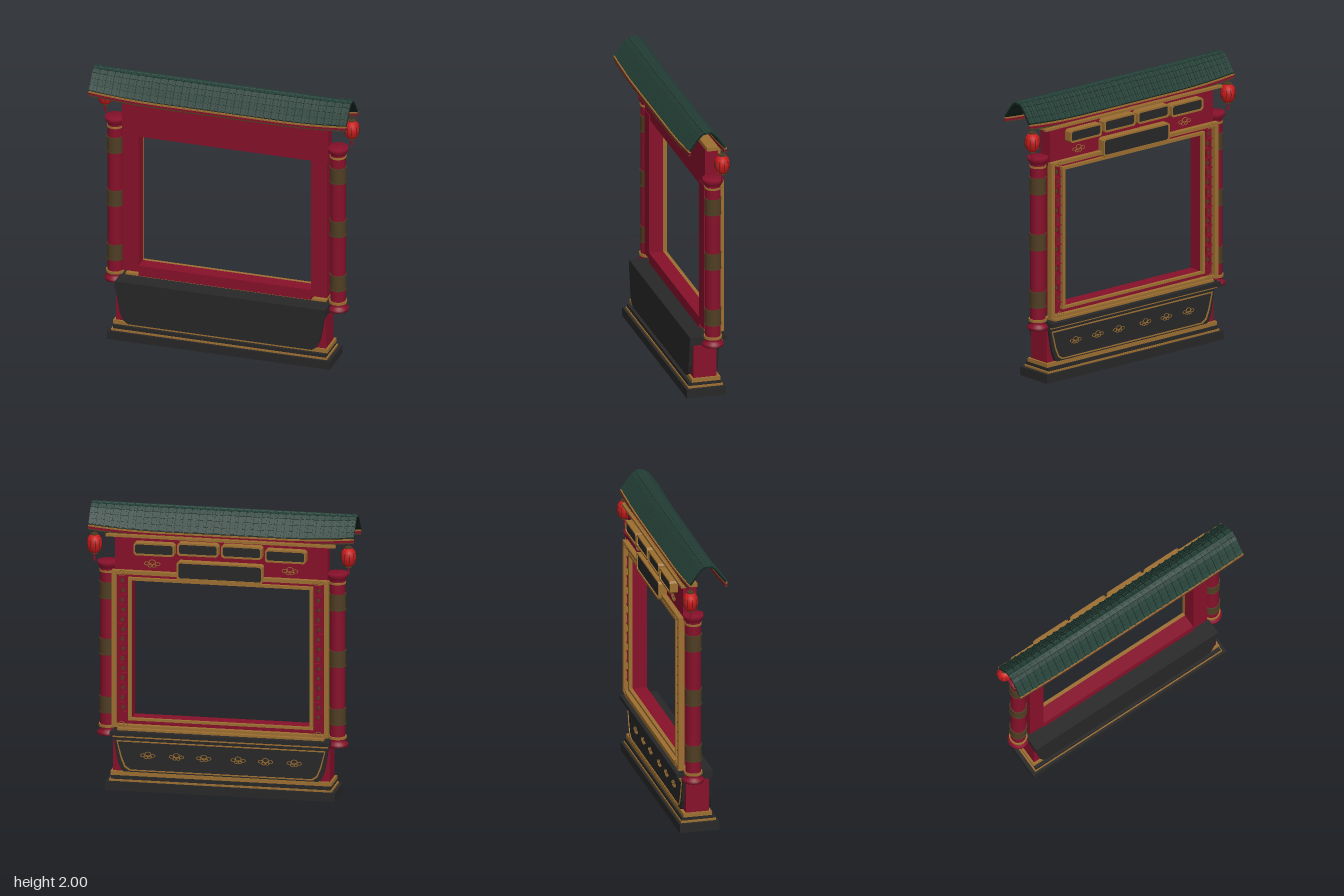
import * as THREE from 'three';
import { mergeGeometries } from 'three/addons/utils/BufferGeometryUtils.js';

const mat = (name, color, extra = {}) => {
  const m = new THREE.MeshStandardMaterial({ color, ...extra });
  m.name = name;
  return m;
};

export function createModel() {
  const root = new THREE.Group();
  root.name = 'ornamentalGateFrame';
  const red = mat('crimson', 0x86102a);
  const black = mat('charcoal', 0x272727);
  const gold = mat('gold', 0x9c6e30);
  const bronze = mat('bronze', 0x4e3d22);
  const tile = mat('greenTile', 0x233f36);
  const gap = mat('darkGreen', 0x14241e, { side: THREE.DoubleSide });
  const paper = mat('lanternRed', 0xc81a1a);

  const add = (name, geo, material, parent = root) => {
    const m = new THREE.Mesh(geo, material);
    m.name = name;
    parent.add(m);
    return m;
  };
  // Box from its limits
  const bg = (x0, x1, y0, y1, z0, z1) =>
    new THREE.BoxGeometry(x1 - x0, y1 - y0, z1 - z0)
      .translate((x0 + x1) / 2, (y0 + y1) / 2, (z0 + z1) / 2);
  const box = (name, m, ...lim) => add(name, bg(...lim), m);
  // Box centred on x = 0
  const wide = (name, m, w, ...lim) => box(name, m, -w, w, ...lim);
  const lathe = (pts, seg = 24) =>
    new THREE.LatheGeometry(pts.map(p => new THREE.Vector2(...p)), seg);

  // Stepped base
  wide('basePlinth', black, 0.8, 0, 0.062, -0.145, 0.135);
  wide('baseGoldLine', gold, 0.775, 0.062, 0.076, -0.128, 0.118);
  wide('baseStep', black, 0.765, 0.076, 0.1, -0.123, 0.112);
  wide('baseGoldTrim', gold, 0.77, 0.1, 0.128, -0.112, 0.09);

  // Counter with shaped front and back panels
  wide('counterCore', red, 0.755, 0.128, 0.365, -0.09, 0.075);
  wide('counterTop', black, 0.755, 0.365, 0.425, -0.12, 0.1);
  wide('counterBackLedge', black, 0.765, 0.392, 0.42, -0.16, -0.11);
  wide('counterLedgeTrim', gold, 0.75, 0.375, 0.39, -0.135, -0.11);
  const panelShape = (inset) => {
    const s = new THREE.Shape(), i = inset;
    const right = [[0.66 - i, 0.115 + i], [0.695 - i, 0.14 + i], [0.72 - i, 0.2 + i], [0.75 - i, 0.37 - i]];
    right.forEach(([x, y], k) => (k ? s.lineTo(x, y) : s.moveTo(x, y)));
    [...right].reverse().forEach(([x, y]) => s.lineTo(-x, y));
    s.closePath();
    return s;
  };
  const extrude = (s, depth, z) =>
    new THREE.ExtrudeGeometry(s, { depth, bevelEnabled: false }).translate(0, 0, z);
  add('counterFrontPanel', extrude(panelShape(0), 0.03, 0.07), black);
  add('counterBackPanel', extrude(panelShape(0), 0.022, -0.11), black);
  const outline = panelShape(0.022);
  outline.holes.push(panelShape(0.03));
  add('backPanelOutline', extrude(outline, 0.006, -0.116), gold);

  // Small cloud scrolls
  const cloud = (x, y, z, s = 1) => {
    const parts = [[-0.035, 0, 0.015], [0, 0.011, 0.02], [0.035, 0, 0.015], [-0.012, -0.014, 0.012], [0.014, -0.014, 0.012]]
      .map(([dx, dy, r]) => new THREE.TorusGeometry(r * s, 0.0035, 4, 12).scale(1, 0.7, 1)
        .translate(x + dx * s, y + dy * s, z));
    add('cloudScroll', mergeGeometries(parts), gold);
  };
  for (const x of [0.12, 0.31, 0.51]) for (const s of [-1, 1]) cloud(s * x, 0.25, -0.112);

  // Crimson frame around the opening
  wide('headerBeam', red, 0.74, 1.49, 1.79, -0.105, -0.01);
  wide('sillBeam', red, 0.62, 0.44, 0.515, -0.105, -0.005);
  wide('sillUnderline', gold, 0.72, 0.425, 0.44, -0.135, -0.03);
  wide('headerCornice', gold, 0.78, 1.79, 1.815, -0.118, -0.015);
  wide('headerCorniceBack', gold, 0.8, 1.795, 1.812, -0.135, -0.11);

  // Gold mouldings on the back
  wide('backTopRail', gold, 0.755, 1.535, 1.56, -0.142, -0.105);
  wide('backTopInnerRail', gold, 0.645, 1.49, 1.51, -0.13, -0.105);
  wide('backBottomRail', gold, 0.755, 0.45, 0.468, -0.142, -0.105);
  wide('backBottomInnerRail', gold, 0.645, 0.498, 0.515, -0.13, -0.105);

  const column = lathe([[0, 0.375], [0.072, 0.375], [0.074, 0.395], [0.055, 0.405], [0.053, 0.42],
    [0.053, 1.55], [0.058, 1.56], [0.07, 1.58], [0.072, 1.605], [0, 1.605]]);
  const ring = (r, y, h) => new THREE.CylinderGeometry(r, r, h, 24).translate(0, y, 0);
  const rib = lathe([[0, -0.058], [0.028, -0.055], [0.047, -0.034], [0.054, 0], [0.047, 0.034], [0.028, 0.055], [0, 0.058]], 20);

  for (const s of [-1, 1]) {
    const sideBox = (name, m, x0, x1, ...rest) =>
      box(name, m, Math.min(s * x0, s * x1), Math.max(s * x0, s * x1), ...rest);
    sideBox('sidePost', red, 0.62, 0.735, 0.47, 1.525, -0.105, -0.005);
    sideBox('outerMoulding', gold, 0.725, 0.755, 0.468, 1.535, -0.142, -0.1);
    sideBox('innerMoulding', gold, 0.62, 0.642, 0.498, 1.51, -0.132, -0.105);
    // Fretwork between the mouldings
    const fret = [], accents = [];
    for (let i = 0; i < 14; i++) {
      const y = 0.55 + i * 0.069, x = s * (i % 2 ? 0.668 : 0.698);
      fret.push(bg(s * 0.683 - 0.032, s * 0.683 + 0.032, y - 0.005, y + 0.005, -0.124, -0.105));
      fret.push(bg(x - 0.005, x + 0.005, y, y + 0.069, -0.124, -0.105));
      accents.push(bg(s * 0.683 - 0.012, s * 0.683 + 0.012, y + 0.025, y + 0.045, -0.116, -0.105));
    }
    add('fretwork', mergeGeometries(fret), red);
    add('fretAccents', mergeGeometries(accents), bronze);
    cloud(s * 0.685, 1.545, -0.142, 0.8);
    cloud(s * 0.685, 0.47, -0.142, 0.8);
    cloud(s * 0.48, 1.61, -0.107, 1.1);

    // Round column with gold rings and bronze bands
    const col = new THREE.Group();
    col.name = 'column';
    col.position.set(s * 0.8, 0, -0.05);
    root.add(col);
    add('columnShaft', column, red, col);
    add('columnRings', mergeGeometries([ring(0.063, 0.44, 0.018), ring(0.058, 1.535, 0.014)]), gold, col);
    for (const y of [0.59, 1.0, 1.4]) {
      add('columnBand', ring(0.0565, y, 0.11), bronze, col);
      add('bandRims', mergeGeometries([ring(0.06, y - 0.055, 0.007), ring(0.06, y + 0.055, 0.007)]), bronze, col);
    }

    // Hanging lantern
    const lan = new THREE.Group();
    lan.name = 'lantern';
    lan.position.set(s * 0.885, 1.73, -0.092);
    root.add(lan);
    add('lanternBody', rib, paper, lan).scale.y = 1.12;
    const ribs = [];
    for (let i = 0; i < 5; i++)
      ribs.push(new THREE.TorusGeometry(0.0545, 0.0018, 4, 28).scale(1, 1.18, 1).rotateY(i * Math.PI / 5));
    add('lanternRibs', mergeGeometries(ribs), black, lan);
    add('lanternCaps', mergeGeometries([ring(0.024, 0.066, 0.012), ring(0.024, -0.066, 0.012)]), bronze, lan);
    add('lanternCord', ring(0.004, 0.09, 0.05), bronze, lan);
    add('lanternTassel', new THREE.CylinderGeometry(0.006, 0.009, 0.05, 8).translate(0, -0.096, 0), red, lan);
  }

  // Framed plaques on the back of the header
  const plaque = (x, y, w, h) => {
    const oct = (a, b, c) => new THREE.Shape([[a - c, -b], [a, c - b], [a, b - c], [a - c, b], [c - a, b], [-a, b - c], [-a, c - b], [c - a, -b]]
      .map(p => new THREE.Vector2(...p)));
    const frame = oct(w / 2, h / 2, 0.014);
    frame.holes.push(oct(w / 2 - 0.012, h / 2 - 0.012, 0.01));
    add('plaqueFrame', extrude(frame, 0.058, -0.163).translate(x, y, 0), gold);
    add('plaqueField', extrude(oct(w / 2 - 0.01, h / 2 - 0.01, 0.01), 0.05, -0.155).translate(x, y, 0), black);
  };
  for (const s of [-1, 1]) {
    plaque(s * 0.152, 1.738, 0.285, 0.09);
    plaque(s * 0.458, 1.725, 0.285, 0.09);
  }
  plaque(0, 1.585, 0.6, 0.13);

  // Curved roof: eaves rise toward both ends
  const RZ = 0.023, HW = 0.925;
  const prof = [[0, 1.99], [0.03, 1.98], [0.055, 1.954], [0.08, 1.918], [0.105, 1.878], [0.13, 1.842]];
  const lift = (x, d) => 0.027 * (d / 0.13) * Math.max(0, (Math.abs(x) - 0.4) / 0.525) ** 2;
  const bend = geo => {
    const p = geo.attributes.position;
    for (let i = 0; i < p.count; i++)
      p.setY(i, p.getY(i) + lift(p.getX(i), Math.min(0.13, Math.abs(p.getZ(i) - RZ))));
    geo.computeVertexNormals();
    return geo;
  };
  const section = new THREE.Shape();
  const top = [...prof.slice(1).reverse().map(([d, y]) => [-d, y]), ...prof];
  top.forEach(([d, y], i) => (i ? section.lineTo(d, y) : section.moveTo(d, y)));
  [...top].reverse().forEach(([d, y]) => section.lineTo(d * 0.95, y - 0.012));
  section.closePath();
  const shell = new THREE.ExtrudeGeometry(section, { depth: HW * 2, steps: 24, bevelEnabled: false })
    .translate(0, 0, -HW).rotateY(-Math.PI / 2).translate(0, 0, RZ);
  add('roofShell', bend(shell), gap);

  // Tiles and raised ribs, laid down each slope
  const tiles = [], N = 34, pitch = (HW * 2) / N;
  for (const s of [-1, 1])
    for (let r = 0; r < prof.length - 1; r++) {
      const [d0, y0] = prof[r], [d1, y1] = prof[r + 1];
      const len = Math.hypot(d1 - d0, y1 - y0), ang = Math.atan2(y0 - y1, d1 - d0);
      for (let c = 0; c < N; c++) {
        const x = -HW + (c + 0.5) * pitch;
        const place = g => tiles.push(g.rotateX(s * ang)
          .translate(x, (y0 + y1) / 2 + 0.003, RZ + s * (d0 + d1) / 2));
        place(new THREE.BoxGeometry(pitch - 0.006, 0.007, len - 0.003));
        place(new THREE.BoxGeometry(0.014, 0.016, len - 0.001));
      }
    }
  add('roofTiles', bend(mergeGeometries(tiles)), tile);
  add('ridgeCap', new THREE.CylinderGeometry(0.012, 0.012, HW * 2, 10).rotateZ(Math.PI / 2).translate(0, 1.988, RZ), tile);

  // Layered eave boards following the curve
  const board = (name, m, s, y0, y1, d0, d1) => {
    const g = new THREE.BoxGeometry(HW * 2, y1 - y0, d1 - d0, 24, 1, 1)
      .translate(0, (y0 + y1) / 2, RZ + s * (d0 + d1) / 2);
    add(name, bend(g), m);
  };
  for (const s of [-1, 1]) {
    board('eaveGoldEdge', gold, s, 1.827, 1.838, 0.118, 0.137);
    board('eaveRedBoard', red, s, 1.811, 1.827, 0.118, 0.134);
    board('eaveLowerTrim', bronze, s, 1.803, 1.811, 0.12, 0.136);
  }
  return root;
}
